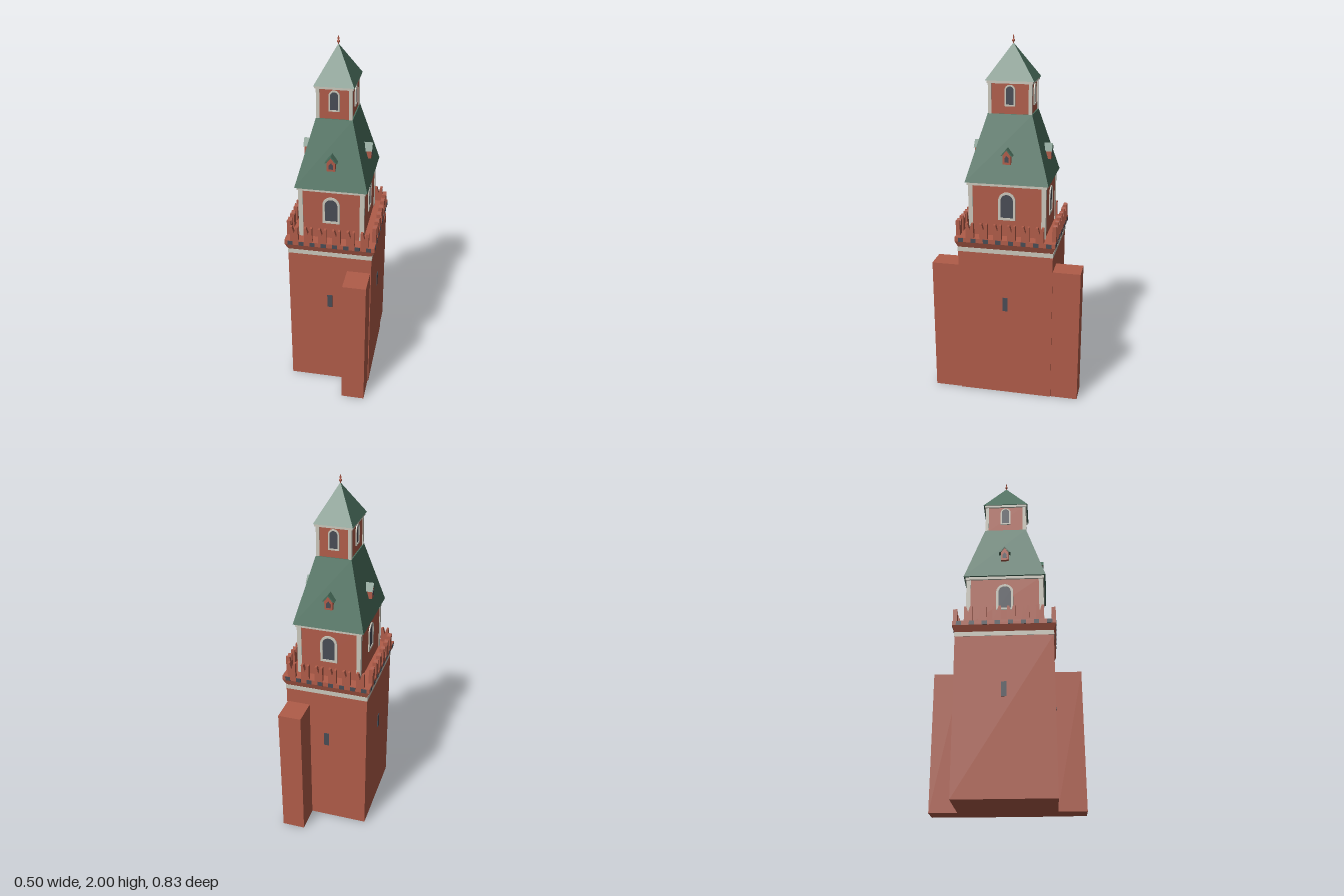
import * as THREE from 'three';

const mat = (name, color) => {
  const m = new THREE.MeshStandardMaterial({ color });
  m.name = name;
  return m;
};

export function createModel() {
  const brick = mat('brick', 0xb05c49);
  const green = mat('roofGreen', 0x4b705e);
  const stone = mat('paleStone', 0xcac7bb);
  const slate = mat('darkGlass', 0x484c55);
  const model = new THREE.Group();
  model.name = 'tower';

  const add = (parent, name, geometry, material, x = 0, y = 0, z = 0) => {
    const mesh = new THREE.Mesh(geometry, material);
    mesh.name = name;
    mesh.position.set(x, y, z);
    parent.add(mesh);
    return mesh;
  };
  // Box given by its half sizes in plan and its bottom and top heights
  const block = (parent, name, material, hx, hz, y0, y1, x = 0, z = 0) =>
    add(parent, name, new THREE.BoxGeometry(hx * 2, y1 - y0, hz * 2), material, x, (y0 + y1) / 2, z);
  // Box whose top is resized to the half sizes tx, tz
  const taper = (name, material, bx, bz, tx, tz, y0, y1) => {
    const geo = new THREE.BoxGeometry(2, 1, 2).toNonIndexed();
    const p = geo.attributes.position;
    for (let i = 0; i < p.count; i++) {
      const top = p.getY(i) > 0;
      p.setXYZ(i, p.getX(i) * (top ? tx : bx), top ? y1 : y0, p.getZ(i) * (top ? tz : bz));
    }
    geo.computeVertexNormals();
    return add(model, name, geo, material);
  };
  const extrude = (shape, depth) =>
    new THREE.ExtrudeGeometry(shape, { depth, bevelEnabled: false, curveSegments: 10 });
  const polygon = (pts) => new THREE.Shape(pts.map(([x, y]) => new THREE.Vector2(x, y)));
  const arch = (w, y0, y1) => {
    const s = new THREE.Shape();
    s.moveTo(-w, y0);
    s.lineTo(w, y0);
    s.lineTo(w, y1 - w);
    s.absarc(0, y1 - w, w, 0, Math.PI, false);
    s.closePath();
    return s;
  };
  // Calls build once per side; local +z points outwards, d is the wall distance
  const eachSide = (name, hx, hz, build) => {
    for (let k = 0; k < 4; k++) {
      const side = new THREE.Group();
      side.name = name;
      side.rotation.y = (k * Math.PI) / 2;
      build(side, k % 2 ? hx : hz, k % 2 ? hz : hx);
      model.add(side);
    }
  };

  // Main shaft and adjoining walls
  block(model, 'shaft', brick, 0.23, 0.263, 0, 0.86);
  block(model, 'shaftBand', stone, 0.232, 0.265, 0.86, 0.885);
  for (const s of [1, -1]) block(model, 'sideWall', brick, 0.064, 0.077, 0, 0.775, 0.161, s * 0.338);
  eachSide('slitWindow', 0.23, 0.263, (g, d) =>
    block(g, 'slit', slate, 0.014, 0.003, 0.52, 0.6, 0, d + 0.001));

  // Flared cornice and parapet floor
  taper('cornice', brick, 0.23, 0.263, 0.246, 0.277, 0.885, 0.92);
  block(model, 'parapetFloor', brick, 0.246, 0.277, 0.92, 0.945);

  // Swallow-tailed merlons over a row of dark openings
  const merlon = extrude(polygon([
    [-0.022, 0], [0.022, 0], [0.022, 0.085], [0.01, 0.085], [0, 0.05], [-0.01, 0.085], [-0.022, 0.085],
  ]), 0.022);
  eachSide('battlement', 0.246, 0.277, (g, d, half) => {
    for (let i = 0; i < 6; i++) add(g, 'merlon', merlon, brick, (i - 2.5) * 0.077, 0.945, d - 0.022);
    const n = 8;
    for (let i = 0; i < n; i++) {
      const x = ((i + 0.5) / n - 0.5) * 2 * half;
      block(g, 'opening', slate, 0.014, 0.002, 0.92, 0.943, x, d);
    }
  });

  // A tier with corner pilasters, a cornice and arched windows
  const tier = (name, hx, hz, y0, y1, post, win) => {
    block(model, name + 'Body', brick, hx - 0.004, hz - 0.004, y0, y1);
    for (const sx of [1, -1]) {
      for (const sz of [1, -1]) {
        block(model, name + 'Pilaster', stone, post, post, y0, y1, sx * (hx - post), sz * (hz - post));
      }
    }
    block(model, name + 'Cornice', stone, hx + 0.006, hz + 0.006, y1 - 0.016, y1);
    eachSide(name + 'Window', hx - 0.004, hz - 0.004, (g, d) => {
      const frame = arch(win.w, win.y0, win.y1);
      frame.holes.push(arch(win.w - win.t, win.y0 + win.t, win.y1 - win.t));
      add(g, 'windowFrame', extrude(frame, 0.007), stone, 0, 0, d - 0.001);
      add(g, 'windowGlass', extrude(arch(win.w - win.t, win.y0 + win.t, win.y1 - win.t), 0.003),
        slate, 0, 0, d - 0.001);
    });
  };
  tier('lowerTier', 0.178, 0.213, 0.945, 1.243, 0.012, { w: 0.047, y0: 1.038, y1: 1.195, t: 0.013 });
  tier('upperTier', 0.094, 0.118, 1.59, 1.778, 0.009, { w: 0.029, y0: 1.643, y1: 1.755, t: 0.008 });

  // Roofs
  taper('lowerRoof', green, 0.195, 0.228, 0.096, 0.12, 1.243, 1.602);
  taper('upperRoof', green, 0.105, 0.131, 0.001, 0.001, 1.776, 1.96);

  // Dormers: red house, dark window, green gable roof
  const house = extrude(polygon([[-0.022, 1.35], [0.022, 1.35], [0.022, 1.402], [0, 1.428], [-0.022, 1.402]]), 0.06);
  const gable = extrude(polygon([
    [-0.033, 1.396], [-0.022, 1.399], [0, 1.427], [0.022, 1.399], [0.033, 1.396], [0, 1.436],
  ]), 0.065);
  const pane = extrude(polygon([[-0.011, 1.362], [0.011, 1.362], [0.011, 1.385], [0, 1.398], [-0.011, 1.385]]), 0.004);
  eachSide('dormer', 0.187, 0.217, (g, d) => {
    add(g, 'dormerHouse', house, brick, 0, 0, d - 0.065);
    add(g, 'dormerRoof', gable, green, 0, 0, d - 0.065);
    add(g, 'dormerWindow', pane, slate, 0, 0, d - 0.007);
  });

  // Finial
  add(model, 'finialRod', new THREE.CylinderGeometry(0.002, 0.003, 0.05, 8), brick, 0, 1.975, 0);
  add(model, 'finialBall', new THREE.SphereGeometry(0.008, 12, 8), brick, 0, 1.973, 0);
  block(model, 'finialBar', brick, 0.008, 0.002, 1.986, 1.99);
  return model;
}
